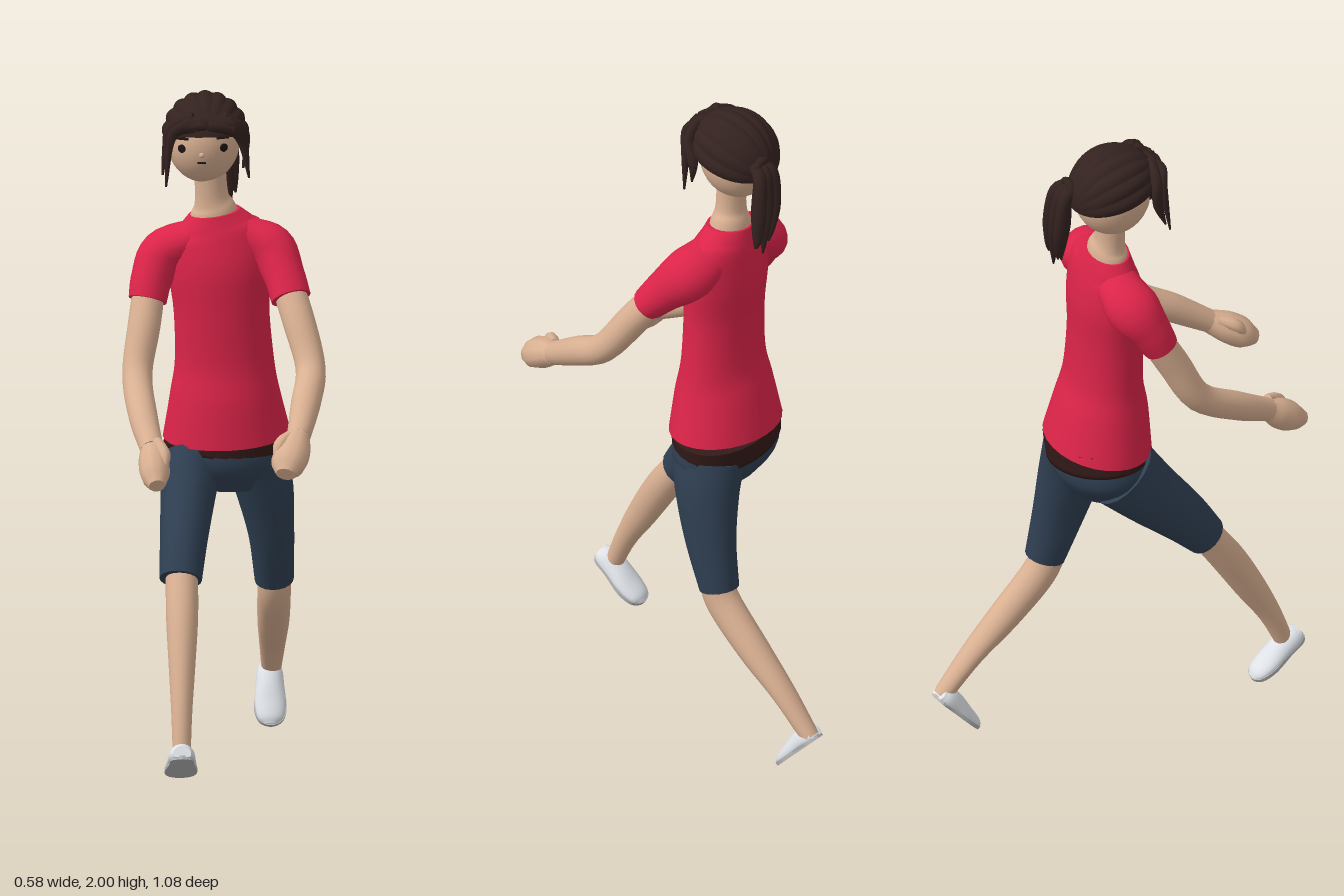
import * as THREE from 'three';

const mat = (name, color) => Object.assign(new THREE.MeshStandardMaterial({ color }), { name });

// Smooth closed tube through stations [x, y, z, sideRadius, depthRadius]
function limbGeometry(stations, seg = 18) {
  const centre = new THREE.CatmullRomCurve3(
    stations.map(s => new THREE.Vector3(s[0], s[1], s[2])), false, 'catmullrom', 0.5);
  const radii = new THREE.CatmullRomCurve3(
    stations.map(s => new THREE.Vector3(s[3], s[4] ?? s[3], 0)), false, 'catmullrom', 0.5);
  const rows = (stations.length - 1) * 5;
  const pos = [], index = [];
  const X = new THREE.Vector3(1, 0, 0);
  for (let j = 0; j <= rows; j++) {
    const c = centre.getPoint(j / rows), r = radii.getPoint(j / rows), t = centre.getTangent(j / rows);
    const u = X.clone().addScaledVector(t, -t.x).normalize();
    const v = t.clone().cross(u);
    for (let i = 0; i < seg; i++) {
      const a = i / seg * Math.PI * 2;
      const p = c.clone().addScaledVector(u, Math.cos(a) * r.x).addScaledVector(v, Math.sin(a) * r.y);
      pos.push(p.x, p.y, p.z);
    }
  }
  for (let j = 0; j < rows; j++) for (let i = 0; i < seg; i++) {
    const k = (i + 1) % seg, a = j * seg + i, b = j * seg + k;
    index.push(a, b, b + seg, a, b + seg, a + seg);
  }
  // flat caps with their own rims
  for (const [row, flip] of [[0, true], [rows, false]]) {
    const c = centre.getPoint(row / rows), base = pos.length / 3;
    for (let i = 0; i < seg; i++) {
      const o = (row * seg + i) * 3;
      pos.push(pos[o], pos[o + 1], pos[o + 2]);
    }
    pos.push(c.x, c.y, c.z);
    for (let i = 0; i < seg; i++) {
      const a = base + i, b = base + (i + 1) % seg;
      index.push(base + seg, flip ? b : a, flip ? a : b);
    }
  }
  const g = new THREE.BufferGeometry();
  g.setAttribute('position', new THREE.Float32BufferAttribute(pos, 3));
  g.setIndex(index);
  g.computeVertexNormals();
  return g;
}

export function createModel() {
  const model = new THREE.Group();
  const skin = mat('skin', 0xd9b092), shirt = mat('shirt red', 0xdc2449), shorts = mat('shorts blue', 0x2f3f52);
  const hair = mat('hair brown', 0x33221f), belt = mat('belt brown', 0x331a18);
  const white = mat('shoe white', 0xdfe3e8), grey = mat('sole grey', 0xb4b4b4), dark = mat('eye dark', 0x1c1414);
  hair.side = THREE.DoubleSide;

  const add = (name, geometry, material, parent = model) => {
    const m = new THREE.Mesh(geometry, material);
    m.name = name;
    parent.add(m);
    return m;
  };
  const limb = (name, material, stations, seg) => add(name, limbGeometry(stations, seg), material);

  // Torso
  limb('shirtBody', shirt, [
    [0.015, 0.975, -0.078, 0.183, 0.148], [0.01, 1.1, -0.068, 0.158, 0.128], [0.008, 1.2, -0.063, 0.142, 0.105],
    [0, 1.35, -0.06, 0.137, 0.1], [-0.005, 1.47, -0.062, 0.148, 0.1], [-0.008, 1.56, -0.066, 0.145, 0.085],
    [-0.015, 1.605, -0.067, 0.11, 0.073], [-0.02, 1.64, -0.066, 0.075, 0.062]], 28);
  limb('belt', belt, [[0.01, 0.92, -0.08, 0.178, 0.138], [0.02, 0.99, -0.082, 0.178, 0.142]], 28);
  limb('shortsHips', shorts, [
    [0.015, 0.96, -0.08, 0.173, 0.136], [0.012, 0.89, -0.075, 0.176, 0.132], [0.01, 0.82, -0.07, 0.12, 0.09]], 28);

  // Sleeves
  limb('leftSleeve', shirt, [
    [0.06, 1.575, -0.068, 0.05, 0.065], [0.14, 1.535, -0.045, 0.068, 0.078], [0.175, 1.475, 0.01, 0.06, 0.062],
    [0.195, 1.415, 0.06, 0.058, 0.05]]);
  limb('rightSleeve', shirt, [
    [-0.08, 1.565, -0.072, 0.05, 0.065], [-0.165, 1.52, -0.065, 0.066, 0.078], [-0.2, 1.455, -0.03, 0.06, 0.062],
    [-0.214, 1.395, 0, 0.055, 0.052]]);

  // Arms and loosely closed hands
  limb('leftArm', skin, [
    [0.18, 1.46, 0.02, 0.046], [0.215, 1.36, 0.095, 0.047], [0.247, 1.24, 0.18, 0.043],
    [0.23, 1.17, 0.29, 0.043], [0.205, 1.1, 0.4, 0.034]]);
  limb('leftHand', skin, [
    [0.205, 1.1, 0.4, 0.034], [0.188, 1.073, 0.45, 0.05, 0.045], [0.172, 1.045, 0.495, 0.05, 0.043],
    [0.163, 1.027, 0.53, 0.028, 0.022]], 10);
  limb('leftThumb', skin, [[0.18, 1.11, 0.42, 0.016], [0.15, 1.095, 0.46, 0.019], [0.14, 1.06, 0.485, 0.01]], 8);
  limb('rightArm', skin, [
    [-0.205, 1.45, -0.03, 0.046], [-0.225, 1.33, 0.035, 0.047], [-0.247, 1.205, 0.105, 0.043],
    [-0.235, 1.12, 0.24, 0.042], [-0.213, 1.055, 0.355, 0.034]]);
  limb('rightHand', skin, [
    [-0.213, 1.055, 0.355, 0.034], [-0.21, 1.03, 0.39, 0.043, 0.045], [-0.207, 1, 0.435, 0.042, 0.043],
    [-0.203, 0.98, 0.475, 0.024, 0.022]], 10);
  limb('rightThumb', skin, [[-0.2, 1.08, 0.36, 0.016], [-0.18, 1.055, 0.405, 0.018], [-0.18, 1.02, 0.435, 0.01]], 8);

  // Shorts legs
  limb('leftShortsLeg', shorts, [
    [0.1, 0.9, -0.085, 0.09, 0.115], [0.125, 0.8, -0.1, 0.083, 0.1], [0.145, 0.66, -0.128, 0.066, 0.082],
    [0.155, 0.51, -0.17, 0.056, 0.06]]);
  limb('rightShortsLeg', shorts, [
    [-0.085, 0.9, -0.05, 0.088, 0.11], [-0.1, 0.81, 0.03, 0.078, 0.095], [-0.115, 0.71, 0.125, 0.068, 0.078],
    [-0.126, 0.62, 0.2, 0.061, 0.061]]);

  // Lower legs
  limb('leftLowerLeg', skin, [
    [0.155, 0.54, -0.15, 0.048], [0.155, 0.46, -0.19, 0.048, 0.053], [0.157, 0.35, -0.3, 0.046, 0.046],
    [0.158, 0.25, -0.41, 0.038, 0.032], [0.158, 0.14, -0.51, 0.028, 0.026]]);
  limb('rightLowerLeg', skin, [
    [-0.122, 0.65, 0.18, 0.046], [-0.124, 0.53, 0.265, 0.046, 0.05], [-0.127, 0.4, 0.343, 0.038, 0.045],
    [-0.13, 0.28, 0.41, 0.03, 0.033], [-0.132, 0.15, 0.465, 0.025]]);

  // Shoes: heel at the local origin, toe along +z
  const upper = limbGeometry([
    [0, 0.018, 0, 0.026, 0.022], [0, 0.018, 0.025, 0.037, 0.036], [0, 0.016, 0.07, 0.041, 0.036],
    [0, 0.012, 0.125, 0.045, 0.027], [0, 0.01, 0.17, 0.037, 0.019], [0, 0.009, 0.19, 0.018, 0.008]]);
  const up = upper.attributes.position;
  for (let i = 0; i < up.count; i++) up.setY(i, Math.max(up.getY(i), 0.007));
  upper.computeVertexNormals();
  const outline = new THREE.Shape(new THREE.SplineCurve([
    [0, 0.003], [0.031, -0.012], [0.036, -0.06], [0.047, -0.13], [0.035, -0.178], [0, -0.195],
    [-0.035, -0.178], [-0.047, -0.13], [-0.036, -0.06], [-0.031, -0.012], [0, 0.003]
  ].map(p => new THREE.Vector2(...p))).getPoints(40));
  const sole = new THREE.ExtrudeGeometry(outline, { depth: 0.011, bevelEnabled: false }).rotateX(-Math.PI / 2);
  for (const [name, x, y, z, yaw, pitch] of [
    ['leftShoe', 0.153, 0.143, -0.535, 0, 0.82], ['rightShoe', -0.132, 0.175, 0.515, Math.PI, 0.56]]) {
    const shoe = new THREE.Group();
    shoe.name = name;
    add(name + 'Upper', upper, white, shoe);
    add(name + 'Sole', sole, grey, shoe);
    shoe.rotation.set(pitch, yaw, 0, 'YXZ');
    shoe.position.set(x, y, z);
    model.add(shoe);
  }

  // Neck and head
  limb('neck', skin, [
    [-0.02, 1.58, -0.067, 0.08, 0.06], [-0.021, 1.645, -0.066, 0.066, 0.055], [-0.028, 1.69, -0.062, 0.048, 0.043],
    [-0.035, 1.79, -0.06, 0.046, 0.042]]);
  const C = new THREE.Vector3(-0.052, 1.857, -0.068), R = new THREE.Vector3(0.106, 0.126, 0.113);
  const head = add('head', new THREE.SphereGeometry(1, 36, 24), skin);
  head.scale.copy(R);
  head.position.copy(C);

  // Facial features lie on the head surface
  const feature = (name, geometry, x, y, tilt = 0, material = dark) => {
    const dx = (x - C.x) / R.x, dy = (y - C.y) / R.y, dz = Math.sqrt(1 - dx * dx - dy * dy);
    const m = add(name, geometry, material);
    m.position.set(x, y, C.z + R.z * dz);
    m.lookAt(m.position.clone().add(new THREE.Vector3(dx / R.x, dy / R.y, dz / R.z)));
    m.rotateZ(tilt);
  };
  const eye = new THREE.CylinderGeometry(0.012, 0.012, 0.008, 16).rotateX(Math.PI / 2);
  const brow = new THREE.BoxGeometry(0.038, 0.007, 0.009);
  feature('rightEye', eye, -0.116, 1.853);
  feature('leftEye', eye, 0.003, 1.857);
  feature('rightBrow', brow, -0.114, 1.882, 0.08);
  feature('leftBrow', brow, 0, 1.886, -0.08);
  feature('mouth', new THREE.BoxGeometry(0.024, 0.004, 0.008), -0.06, 1.815);
  feature('nose', new THREE.SphereGeometry(0.008, 10, 8), -0.06, 1.838, 0, skin);

  // Hair cap with ridges combed from front to back
  const cap = new THREE.SphereGeometry(1, 108, 24, 0, Math.PI).rotateX(-Math.PI / 2);
  const cp = cap.attributes.position;
  for (let i = 0; i < cp.count; i++) {
    const x = cp.getX(i), y = cp.getY(i), ring = Math.hypot(x, y);
    const f = 1 + 0.05 * ring * (Math.abs(Math.sin(9 * Math.atan2(y, x))) - 0.6);
    cp.setXYZ(i, x * f, y * f, cp.getZ(i));
  }
  cap.scale(0.124, 0.128, 0.136).rotateX(-0.24).computeVertexNormals();
  add('hairCap', cap, hair).position.set(-0.046, 1.867, -0.06);

  // Fringe strands framing the face
  const strands = [
    [[-0.03, 1.945, 0.045, 0.02, 0.014], [0.02, 1.93, 0.055, 0.024, 0.014], [0.057, 1.875, 0.035, 0.015, 0.012], [0.076, 1.765, 0.025, 0.003]],
    [[0, 1.95, 0.04, 0.02, 0.014], [0.05, 1.915, 0.03, 0.02, 0.014], [0.067, 1.86, 0, 0.012, 0.016], [0.06, 1.79, 0.01, 0.003]],
    [[-0.04, 1.945, 0.045, 0.02, 0.014], [-0.1, 1.93, 0.06, 0.024, 0.014], [-0.148, 1.89, 0.045, 0.014, 0.014], [-0.163, 1.75, 0.06, 0.003]],
    [[-0.08, 1.95, 0.04, 0.02, 0.014], [-0.145, 1.915, 0.025, 0.018, 0.016], [-0.163, 1.85, 0.02, 0.01, 0.016], [-0.172, 1.78, 0.04, 0.003]],
    [[-0.1, 1.925, 0.055, 0.02, 0.014], [-0.04, 1.932, 0.068, 0.016, 0.014], [0.03, 1.915, 0.055, 0.018, 0.014]]];
  strands.forEach((s, i) => limb('fringeStrand' + (i + 1), hair, s, 8));

  // Ponytail: a tie and a bundle of tapering strands
  const tie = add('ponytailTie', new THREE.TorusGeometry(0.025, 0.012, 8, 16), hair);
  tie.position.set(-0.01, 1.885, -0.19);
  for (let i = 0; i < 5; i++) {
    const s = i - 2, d = (i % 2) * 0.018;
    limb('ponytailStrand' + (i + 1), hair, [
      [-0.01 + s * 0.004, 1.89, -0.17, 0.018], [-0.005 + s * 0.013, 1.87, -0.21 + d * 0.5, 0.02],
      [0.005 + s * 0.016, 1.77, -0.222 + d, 0.019, 0.022], [0.015 + s * 0.013, 1.69, -0.222 + d, 0.013, 0.015],
      [0.02 + s * 0.013, 1.62 + Math.abs(s) * 0.015, -0.22 + d, 0.003]], 8);
  }
  return model;
}
